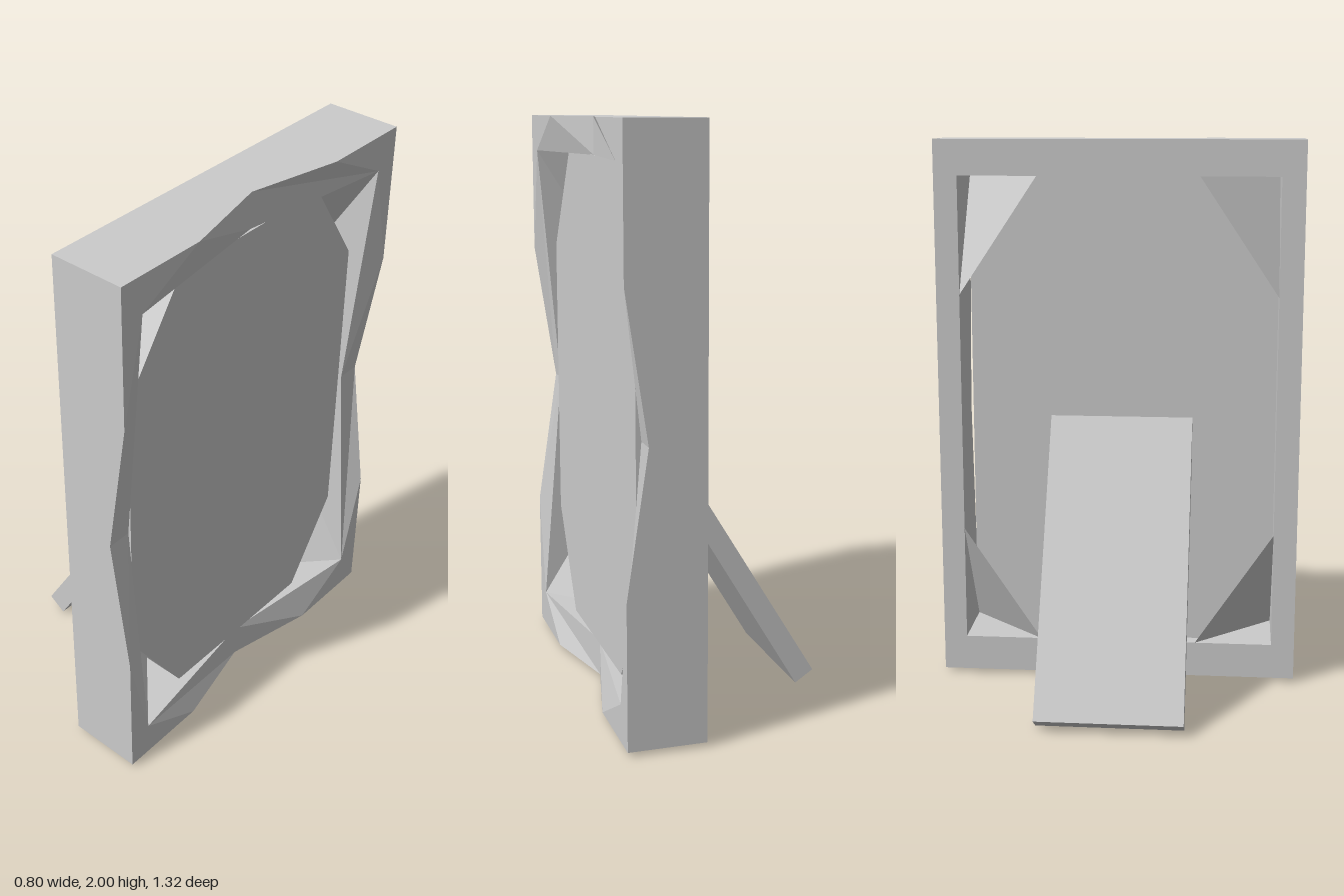
import * as THREE from 'three';

const material = () => new THREE.MeshStandardMaterial({ color: 0xcccccc, flatShading: true, side: THREE.DoubleSide });

function addMesh(group, name, geometry) {
  const mesh = new THREE.Mesh(geometry, material());
  mesh.name = name;
  group.add(mesh);
  return mesh;
}

// Flat outline pulled out by a depth
function extrude(points, depth) {
  const shape = new THREE.Shape(points.map(([a, b]) => new THREE.Vector2(a, b)));
  return new THREE.ExtrudeGeometry(shape, { depth, bevelEnabled: false });
}

function fromTriangles(points) {
  const geometry = new THREE.BufferGeometry().setFromPoints(points);
  geometry.computeVertexNormals();
  return geometry;
}

const BACK = 0.133, FRONT = 0.4, DIP = 0.325;
const outer = { w: 0.66, y0: 0.015, y1: 2 };
const inner = { w: 0.575, y0: 0.145, y1: 1.872 };
const corners = ({ w, y0, y1 }) => [[w, y0], [-w, y0], [-w, y1], [w, y1]]; // [z, y]

// Rectangular border whose front dips at the middle of each side
function frameGeometry() {
  const o = corners(outer), n = corners(inner), sections = [];
  const at = (c, k, s) => [0, 1].map(j => THREE.MathUtils.lerp(c[k][j], c[(k + 1) % 4][j], s));
  for (let k = 0; k < 4; k++) {
    for (const s of [0, 0.25, 0.5, 0.75]) {
      const [oz, oy] = at(o, k, s);
      const [iz, iy] = at(n, k, s === 0.25 ? 0 : s === 0.75 ? 1 : s);
      const x = s === 0.5 ? DIP : FRONT;
      sections.push([
        new THREE.Vector3(x, oy, oz), new THREE.Vector3(BACK, oy, oz),
        new THREE.Vector3(BACK, iy, iz), new THREE.Vector3(x, iy, iz),
      ]);
    }
  }
  const points = [];
  const tri = (a, b, c) => {
    if (new THREE.Triangle(a, b, c).getArea() > 1e-6) points.push(a, b, c);
  };
  sections.forEach((p, i) => {
    const q = sections[(i + 1) % sections.length];
    for (let e = 0; e < 4; e++) {
      const f = (e + 1) % 4;
      tri(p[e], p[f], q[f]);
      tri(p[e], q[f], q[e]);
    }
  });
  return fromTriangles(points);
}

export function createModel() {
  const model = new THREE.Group();
  model.name = 'pictureFrame';

  addMesh(model, 'frame', frameGeometry());

  // Picture panel with clipped corners, outline in [-z, y]
  const panel = addMesh(model, 'picturePanel', extrude([
    [-0.335, 0.145], [0.335, 0.145], [0.54, 0.46], [0.54, 1.56],
    [0.335, 1.872], [-0.335, 1.872], [-0.573, 1.52], [-0.573, 0.5],
  ], 0.15));
  panel.rotation.y = Math.PI / 2;
  panel.position.x = 0.184;

  // Slanted triangular braces in the four corners of the opening
  for (const side of [1, -1]) {
    for (const [y, up] of [[inner.y0, 1], [inner.y1, -1]]) {
      const z = side * inner.w;
      const tip = new THREE.Vector3(FRONT, y, z);
      const a = new THREE.Vector3(BACK, y, z - side * 0.285);
      const b = new THREE.Vector3(BACK, y + up * 0.425, z);
      addMesh(model, 'cornerBrace', fromTriangles(side * up > 0 ? [tip, b, a] : [tip, a, b]));
    }
  }

  // Leaning stand behind the panel, outline in [x, y]
  const stand = addMesh(model, 'stand', extrude([
    [-0.4, 0.043], [-0.335, 0], [0.184, 0.86], [0.184, 0.998],
  ], 0.52));
  stand.position.z = -0.25;

  return model;
}
